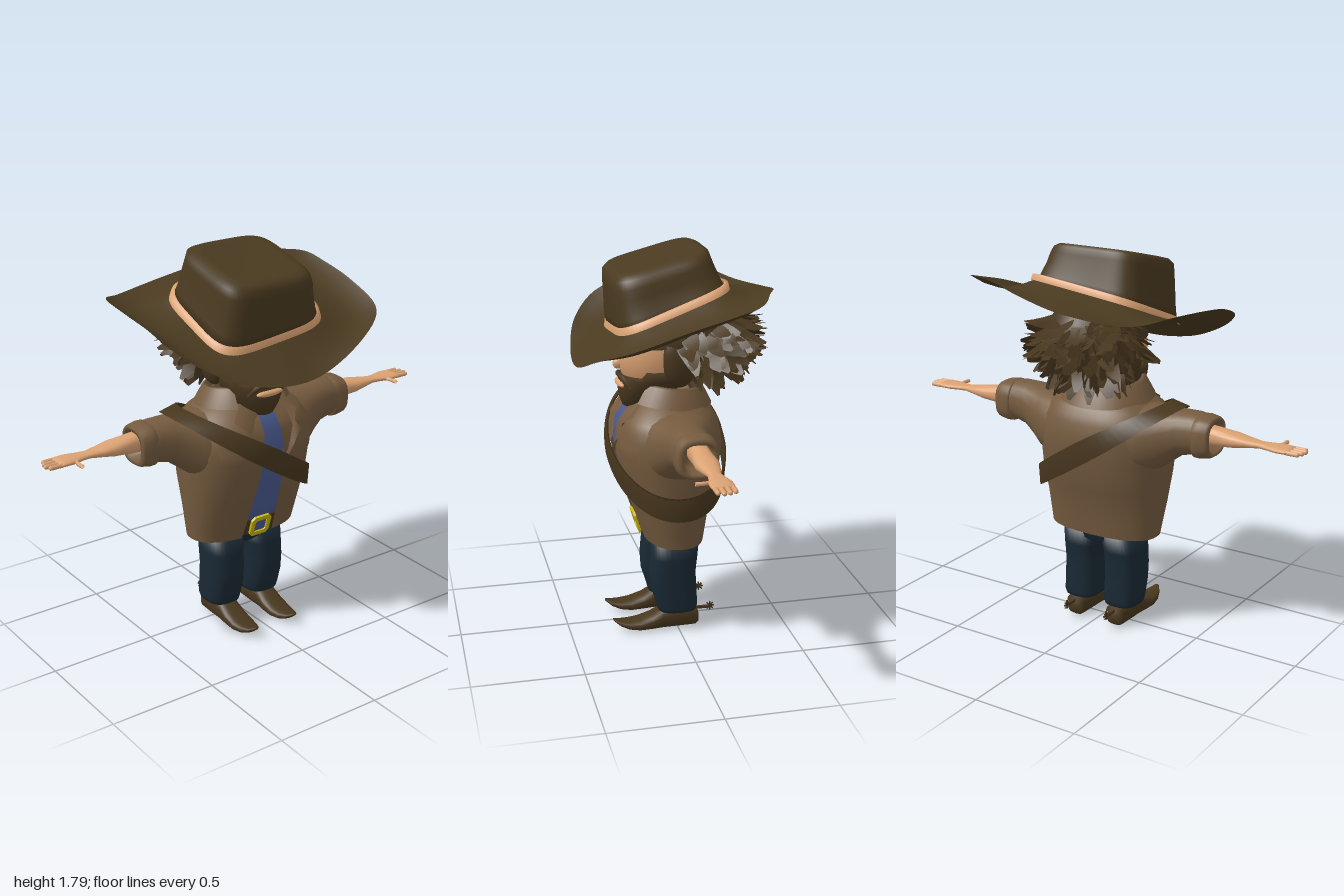
import * as THREE from 'three';
import { mergeGeometries } from 'three/addons/utils/BufferGeometryUtils.js';

const V = (x, y, z) => new THREE.Vector3(x, y, z);
const mat = (name, color) => new THREE.MeshStandardMaterial({ name, color, side: THREE.DoubleSide });

// skin over a list of cross-sections, optionally closed around and capped at the ends
function loft(rings, { closed = true, caps = false } = {}) {
  const n = rings[0].length, pos = [], idx = [];
  rings.forEach(r => r.forEach(p => pos.push(p.x, p.y, p.z)));
  for (let k = 0; k < rings.length - 1; k++)
    for (let i = 0; i < (closed ? n : n - 1); i++) {
      const a = k * n + i, b = k * n + (i + 1) % n;
      idx.push(a, b, a + n, b, b + n, a + n);
    }
  if (caps) [0, rings.length - 1].forEach(k => {
    const c = rings[k].reduce((s, p) => s.add(p), V(0, 0, 0)).divideScalar(n), ci = pos.length / 3;
    pos.push(c.x, c.y, c.z);
    for (let i = 0; i < n; i++) {
      const a = k * n + i, b = k * n + (i + 1) % n;
      k ? idx.push(a, b, ci) : idx.push(b, a, ci);
    }
  });
  const g = new THREE.BufferGeometry();
  g.setAttribute('position', new THREE.Float32BufferAttribute(pos, 3));
  g.setIndex(idx);
  g.computeVertexNormals();
  return g;
}

// rounded-square cross-sections around each axis
const pw = (v, p) => Math.sign(v) * Math.abs(v) ** (2 / p);
const oval = (h1, h2, p, n, f) => Array.from({ length: n }, (_, i) => {
  const a = i / n * Math.PI * 2;
  return f(h1 * pw(Math.sin(a), p), h2 * pw(Math.cos(a), p));
});
const ringY = (y, cx, cz, hx, hz, p = 2.6, n = 32) => oval(hx, hz, p, n, (u, v) => V(cx + u, y, cz + v));
const ringX = (x, cy, cz, hy, hz, p = 2.3, n = 24) => oval(hy, hz, p, n, (u, v) => V(x, cy + u, cz + v));
const ringZ = (z, cx, cy, hx, hy, p = 2.6, n = 24) => oval(hx, hy, p, n, (u, v) => V(cx + u, cy + v, z));

// torso profile: height, half width, depth centre, half depth
const PROFILE = [[.45, .275, .01, .14], [.6, .295, .022, .177], [.75, .312, .025, .222], [.9, .32, .03, .247],
  [1.0, .305, .03, .232], [1.06, .265, .025, .195], [1.1, .2, .02, .15], [1.14, .12, .02, .11]];
function body(y) {
  let k = 0;
  while (k < PROFILE.length - 2 && y > PROFILE[k + 1][0]) k++;
  const a = PROFILE[k], b = PROFILE[k + 1], t = (y - a[0]) / (b[0] - a[0]);
  return [1, 2, 3].map(j => a[j] + (b[j] - a[j]) * t);
}
const P = 2.4;
const frontZ = (x, y) => {
  const [rx, zc, rz] = body(y);
  return zc + rz * Math.max(0, 1 - Math.abs(x / rx) ** P) ** (1 / P);
};
// torso section with a front opening of half width gap
const openRing = (y, gap, n = 49) => {
  const [rx, zc, rz] = body(y), a0 = Math.asin((gap / rx) ** (P / 2));
  return Array.from({ length: n }, (_, i) => {
    const a = a0 + (2 * Math.PI - 2 * a0) * i / (n - 1);
    return V(rx * pw(Math.sin(a), P), y, zc + rz * pw(Math.cos(a), P));
  });
};
const bodyRing = (y, s) => { const [rx, zc, rz] = body(y); return ringY(y, 0, zc, rx * s, rz * s, P, 40); };

export function createModel() {
  const root = new THREE.Group(), man = new THREE.Group();
  man.name = 'figure';
  man.rotation.y = Math.PI / 2;
  root.add(man);
  const M = {
    hat: mat('hat felt', 0x4a3a20), jacket: mat('jacket brown', 0x755b3f), skin: mat('skin tan', 0xdba273),
    hair: mat('hair brown', 0x48371f), jeans: mat('denim', 0x1a2934), shirt: mat('shirt blue', 0x4a5a90),
    leather: mat('leather', 0x48371e), gold: mat('buckle yellow', 0xccb80f), white: mat('eye white', 0xe0dcd0),
  };
  const add = (name, g, m, p) => {
    const o = new THREE.Mesh(g, m);
    o.name = name;
    if (p) o.position.set(...p);
    man.add(o);
    return o;
  };
  const ball = (name, m, p, s) => { const o = add(name, new THREE.SphereGeometry(1, 28, 20), m, p); o.scale.set(...s); return o; };
  const tube = (name, pts, r, m) => add(name, new THREE.TubeGeometry(new THREE.CatmullRomCurve3(pts.map(p => V(...p))), 20, r, 8), m);

  // hat: brim edge as x, y, z, then sections that climb the crown
  const edge = new THREE.CatmullRomCurve3([[.08, 1.28, .445], [.39, 1.385, .39], [.57, 1.465, .27], [.6, 1.54, .06], [.59, 1.59, -.13],
    [.56, 1.62, -.25], [.37, 1.63, -.345], [.15, 1.6, -.425], [-.08, 1.56, -.45], [-.38, 1.535, -.39], [-.52, 1.57, -.26],
    [-.55, 1.56, -.06], [-.545, 1.535, .1], [-.515, 1.475, .26], [-.4, 1.385, .37], [-.2, 1.3, .425]].map(p => V(...p)), true).getSpacedPoints(96).slice(0, 96);
  const hatRing = (cx, cz, hx, hz, y, slope, roll = 0, p = 4.5) => edge.map(e => {
    const a = Math.atan2(e.x, e.z), s = Math.sin(a), c = Math.cos(a);
    const r = (Math.abs(s / hx) ** p + Math.abs(c / hz) ** p) ** (-1 / p), x = cx + r * s, z = cz + r * c;
    return V(x, y - slope * (z - .05) + roll * x, z);
  });
  const base = hatRing(.015, .03, .285, .24, 1.502, .38, .12);
  const brim = [1, .97, .8, .6, .4, .2, 0].map(f => edge.map((e, i) => {
    const p = base[i].clone().lerp(e, f);
    p.y -= .05 * Math.sin(Math.PI * f) * Math.abs(p.x) / .5;
    return p;
  }));
  add('hatBrim', loft(brim), M.hat);
  add('hatCrown', loft([base, hatRing(.01, .045, .262, .237, 1.555, .34, .08), hatRing(.005, .06, .246, .226, 1.64, .29, .03),
    hatRing(.005, .07, .238, .22, 1.69, .28), hatRing(0, .075, .228, .215, 1.725, .27), hatRing(0, .078, .205, .195, 1.742, .26),
    hatRing(0, .08, .17, .165, 1.744, .25), hatRing(0, .08, .08, .08, 1.738, .24)], { caps: true }), M.hat);
  add('hatBand', loft([hatRing(.015, .03, .297, .25, 1.5, .38, .12), hatRing(.015, .032, .287, .246, 1.53, .38, .12),
    hatRing(.015, .035, .265, .235, 1.534, .38, .12)]), M.skin);

  // head and face
  ball('head', M.skin, [0, 1.3, .06], [.15, .2, .185]);
  add('neck', new THREE.CylinderGeometry(.09, .1, .2, 20), M.skin, [0, 1.1, .03]);
  ball('nose', M.skin, [0, 1.262, .24], [.02, .026, .028]);
  // full beard, its upper edge dipping below the nose
  const beard = [[1.055, .13, .035, .07], [1.07, .13, .065, .095], [1.11, .115, .1, .125], [1.16, .1, .13, .145], [1.2, .09, .142, .15], [1.225, .08, .146, .148]]
    .map(([y, z, a, b]) => ringY(y, 0, z, a, b, 2.2));
  beard[5].forEach(p => { p.y += p.z > .15 ? -.012 : .02; });
  add('beard', loft(beard, { caps: true }), M.hair);
  tube('moustache', [[-.09, 1.165, .2], [-.06, 1.202, .226], [0, 1.212, .243], [.06, 1.202, .226], [.09, 1.165, .2]], .011, M.hair);
  ball('mouth', M.skin, [0, 1.173, .235], [.07, .016, .02]);
  for (const s of [-1, 1]) {
    ball('eye', M.white, [s * .058, 1.312, .215], [.024, .013, .012]);
    ball('iris', M.leather, [s * .058, 1.312, .224], [.012, .012, .007]);
    ball('sideHair', M.hair, [s * .13, 1.3, -.01], [.052, .13, .085]);
  }

  // shaggy hair: a cap and a core covered with tapered, curling locks
  add('hairCap', new THREE.SphereGeometry(1, 28, 12, 0, Math.PI * 2, 0, Math.PI * .42), M.hair, [0, 1.3, .055]).scale.set(.16, .205, .196);
  ball('hairCore', M.hair, [0, 1.39, -.09], [.205, .185, .22]);
  let seed = 7;
  const rnd = () => (seed = (seed * 16807) % 2147483647) / 2147483647;
  const locks = [];
  for (let i = 0; i < 230; i++) {
    const a = Math.PI * (.37 + 1.26 * rnd()), h = -.95 + 1.5 * rnd(), c = Math.sqrt(1 - h * h);
    const out = V(Math.sin(a) * c, h, Math.cos(a) * c).normalize();
    const dir = V(out.x * .4 + (rnd() - .5) * .9, -.6 + rnd() * .5, out.z * .45 - .25).normalize();
    const side = V(0, 0, 0).crossVectors(dir, out).normalize(), up = V(0, 0, 0).crossVectors(side, dir);
    const g = new THREE.PlaneGeometry(1, 1, 1, 3), q = g.attributes.position, len = .08 + .05 * rnd();
    for (let k = 0; k < q.count; k++) {
      const t = .5 - q.getY(k);
      q.setXYZ(k, q.getX(k) * .08 * (1 - t * t * .8), t * len, .03 * t * t);
    }
    g.computeVertexNormals();
    g.applyMatrix4(new THREE.Matrix4().makeBasis(side, dir, up)
      .setPosition(out.x * .2, 1.385 + out.y * .175, -.1 + out.z * .22));
    locks.push(g);
  }
  add('hairLocks', mergeGeometries(locks), M.hair);

  // shirt, belt and buckle
  add('shirt', loft([.5, .6, .75, .9, 1, 1.06, 1.1].map(y => bodyRing(y, .95)), { caps: true }), M.shirt);
  add('belt', loft([[.462, .6], [.46, .96], [.464, .985], [.545, .985], [.55, .96], [.55, .9]].map(([y, s]) => bodyRing(y, s)), { caps: true }), M.leather);
  const pts = list => list.map(p => new THREE.Vector2(...p));
  const frame = new THREE.Shape(pts([[-.054, -.038], [-.038, -.054], [.038, -.054], [.054, -.038], [.054, .038], [.038, .054], [-.038, .054], [-.054, .038]]));
  frame.holes.push(new THREE.Path(pts([[-.032, -.025], [-.032, .025], [-.025, .032], [.025, .032], [.032, .025], [.032, -.025], [.025, -.032], [-.025, -.032]])));
  const buckle = [add('buckleFrame', new THREE.ExtrudeGeometry(frame, { depth: .012, bevelEnabled: false }), M.gold),
    add('bucklePlate', new THREE.BoxGeometry(.07, .07, .01), M.shirt)];
  buckle.forEach(b => { b.position.set(0, .506, .164); b.rotation.x = .3; });

  // open jacket with collar, lapels and pockets
  add('jacket', loft([.45, .52, .6, .68, .75, .83, .9, .95, 1, 1.03, 1.06, 1.1, 1.14]
    .map(y => openRing(y, .085 - .045 * (y - .45) / .65)), { closed: false }), M.jacket);
  const collar = (y, rx, rz, gap) => Array.from({ length: 33 }, (_, i) => {
    const a = gap + (2 * Math.PI - 2 * gap) * i / 32;
    return V(rx * Math.sin(a), y + .02 * Math.cos(a), .02 + rz * Math.cos(a));
  });
  add('collar', loft([collar(1.09, .13, .12, .7), collar(1.175, .16, .145, .75), collar(1.17, .18, .16, .75), collar(1.09, .225, .2, .62)], { closed: false }), M.jacket);
  const drape = (g, off) => {
    const q = g.attributes.position;
    for (let i = 0; i < q.count; i++) q.setZ(i, frontZ(q.getX(i), q.getY(i)) + off);
    g.computeVertexNormals();
    return g;
  };
  for (const s of [-1, 1]) {
    const lapel = [[.045, 1.09], [.1, 1.12], [.17, 1.06], [.13, 1.02], [.155, .98], [.1, .92], [.055, .85]];
    add('lapel', drape(new THREE.ShapeGeometry(new THREE.Shape(pts(lapel.map(([x, y]) => [s * x, y])))), .018), M.jacket);
    add('pocket', drape(new THREE.PlaneGeometry(.1, .08, 8, 3).translate(s * .2, .9, 0), .006), M.jacket);
    add('pocketFlap', drape(new THREE.PlaneGeometry(.11, .03, 8, 2).translate(s * .2, .94, 0), .011), M.jacket);

    // sleeve and rolled cuff
    add('sleeve', loft([[.16, .92, .165, .19], [.24, .922, .16, .175], [.3, .935, .143, .148], [.35, .956, .124, .122], [.41, .98, .103, .102], [.47, .988, .096, .095], [.53, .986, .088, .09]]
      .map(([x, y, h, d]) => ringX(s * x, y, .015, h, d, 2.3))), M.jacket);
    add('cuff', loft([[.49, .088], [.495, .096], [.52, .097], [.56, .09], [.572, .083], [.57, .066], [.5, .06]]
      .map(([x, r]) => ringX(s * x, .983, .01, r, r, 2.8)), { caps: true }), M.jacket);

    // bare forearm and hand
    add('forearm', loft([[.48, .05, .046], [.58, .043, .045], [.67, .032, .053], [.73, .022, .042], [.79, .014, .029], [.83, .014, .037], [.88, .015, .05], [.92, .014, .05], [.94, .01, .046]]
      .map(([x, h, d]) => ringX(s * x, .995, 0, h, d)), { caps: true }), M.skin);
    [-.037, -.012, .013, .037].forEach((z, i) => {
      const f = add('finger', new THREE.CapsuleGeometry(.0105, [.05, .062, .066, .055][i], 4, 8), M.skin, [s * (.953 + [0, .004, .0065, .002][i]), .994, z]);
      f.rotation.z = Math.PI / 2;
    });
    tube('thumb', [[s * .855, .994, .02], [s * .868, .994, .06], [s * .868, .994, .1]], .009, M.skin);

    // trouser leg
    add('trouserLeg', loft([[.088, .11, 0, .066, .078], [.094, .11, 0, .08, .09], [.115, .11, 0, .086, .095], [.2, .11, .015, .087, .106], [.28, .11, .02, .088, .106], [.36, .109, .012, .09, .107], [.44, .1, .005, .1, .108]]
      .map(([y, x, z, a, b]) => ringY(y, s * x, z, a, b, 2.8)), { caps: true }), M.jeans);

    // boot with upturned toe: z, bottom, top, half width
    add('boot', loft([[-.1, .01, .07, .035], [-.085, 0, .1, .05], [0, 0, .11, .056], [.07, 0, .1, .056], [.12, 0, .07, .058], [.18, 0, .05, .057], [.23, .008, .046, .048], [.27, .025, .05, .032], [.3, .05, .06, .01]]
      .map(([z, b, t, w]) => ringZ(z, s * .11, (b + t) / 2, w, (t - b) / 2)), { caps: true }), M.leather);
    // spur
    add('spurArm', new THREE.BoxGeometry(.012, .012, .06), M.leather, [s * .11, .075, -.125]);
    for (let k = 0; k < 4; k++)
      add('spurPoint', new THREE.BoxGeometry(.006, .042, .006), M.leather, [s * .11, .078, -.162]).rotation.x = k * Math.PI / 4;
  }
  add('hips', loft([[.385, .1, .07], [.41, .17, .1], [.46, .2, .112], [.5, .21, .12]].map(([y, a, b]) => ringY(y, 0, .005, a, b)), { caps: true }), M.jeans);

  // shoulder strap: a tilted loop whose width turns from flat on the shoulder to upright at the hip
  const strap = [[-1, 0], [-1, .01], [1, .01], [1, 0], [-1, 0]].map(([w, lift]) => Array.from({ length: 64 }, (_, i) => {
    const a = i / 64 * Math.PI * 2, c = pw(Math.cos(a), 2.1), d = pw(Math.sin(a), 2.1), l = 1 + lift / .3;
    const turn = 1 + (c < 0 ? .85 : .57) * c, half = .05 * (1 - .1 * Math.max(0, -c));
    return V(-.01 + .33 * c * l + half * w * Math.cos(turn), .873 - .21 * c * l + half * w * Math.sin(turn), .03 - .012 * Math.abs(c) + .26 * d * l);
  }));
  add('shoulderStrap', loft(strap), M.leather);
  return root;
}
